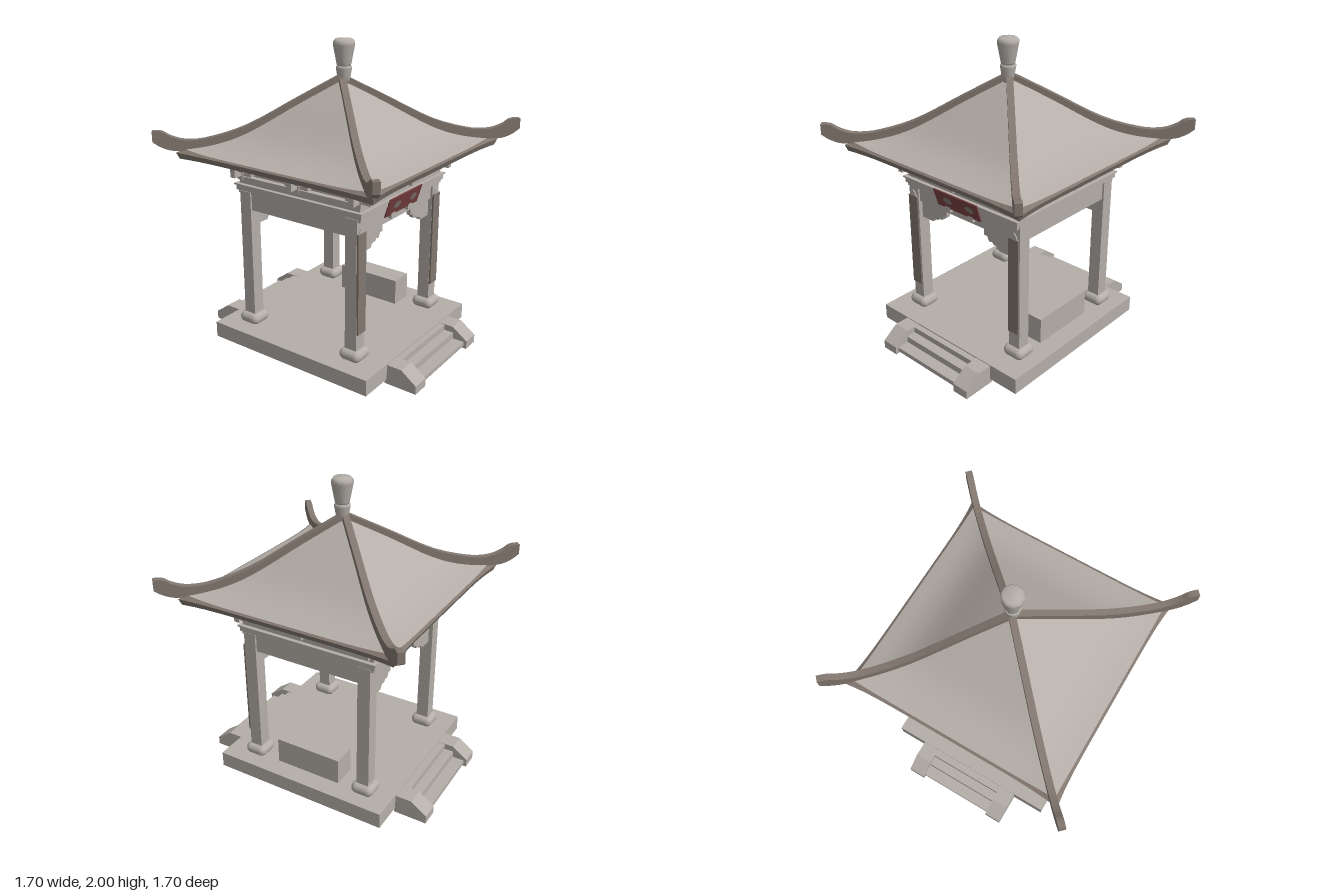
import * as THREE from 'three';
import { RoundedBoxGeometry } from 'three/addons/geometries/RoundedBoxGeometry.js';

export function createModel() {
  const model = new THREE.Group();
  const mat = (name, color) => Object.assign(new THREE.MeshStandardMaterial({ color, side: THREE.DoubleSide }), { name });
  const stone = mat('stone', 0xb4aea8);
  const roofStone = mat('roofStone', 0xb5aea8);
  const brown = mat('weatheredBrown', 0x82776f);
  const red = mat('plaqueRed', 0x7a4042);

  const add = (name, geo, material, parent = model) => {
    const m = new THREE.Mesh(geo, material);
    m.name = name;
    parent.add(m);
    return m;
  };
  // Box given by its limits
  const box = (name, x0, x1, y0, y1, z0, z1, material = stone, parent = model) => {
    const m = add(name, new THREE.BoxGeometry(x1 - x0, y1 - y0, z1 - z0), material, parent);
    m.position.set((x0 + x1) / 2, (y0 + y1) / 2, (z0 + z1) / 2);
    return m;
  };
  const shapeOf = pts => new THREE.Shape(pts.map(p => new THREE.Vector2(...p)));
  const slab = (shape, depth) => new THREE.ExtrudeGeometry(shape, { depth, bevelEnabled: false }).translate(0, 0, -depth / 2);
  const square = h => [[-h, -h], [h, -h], [h, h], [-h, h]];
  // Opens a mesh by dropping the flat faces that look along the given directions
  const open = (mesh, ...dirs) => {
    const src = mesh.geometry.index ? mesh.geometry.toNonIndexed() : mesh.geometry;
    const { position: p, normal: n } = src.attributes;
    const pos = [];
    for (let i = 0; i < p.count; i += 3) {
      if (dirs.some(d => n.getX(i) * d[0] + n.getY(i) * d[1] + n.getZ(i) * d[2] > 0.95)) continue;
      pos.push(...p.array.slice(i * 3, i * 3 + 9));
    }
    mesh.geometry = new THREE.BufferGeometry().setAttribute('position', new THREE.Float32BufferAttribute(pos, 3));
    mesh.geometry.computeVertexNormals();
    return mesh;
  };
  const down = [0, -1, 0];

  // Platform, open underneath, and bench
  open(box('platform', -0.6, 0.6, 0.03, 0.135, -0.6, 0.61), down);
  box('bench', 0.32, 0.475, 0.13, 0.31, -0.23, 0.23);

  // Stairs at the front and back, hollow underneath
  for (const s of [1, -1]) {
    const stairs = new THREE.Group();
    stairs.name = s > 0 ? 'frontStairs' : 'backStairs';
    stairs.scale.z = s;
    model.add(stairs);
    const cheek = [[0.595, 0], [0.815, 0], [0.815, 0.055], [0.71, 0.13], [0.595, 0.13]];
    for (const [x0, x1] of [[-0.375, -0.26], [0.275, 0.39]]) {
      const c = open(add('stairCheek', slab(shapeOf(cheek), x1 - x0), stone, stairs), down);
      c.rotation.y = -Math.PI / 2;
      c.position.x = (x0 + x1) / 2;
    }
    [[0.015, 0.045, 0.715, 0.795], [0.045, 0.088, 0.65, 0.715], [0.088, 0.127, 0.6, 0.65]].forEach(([y0, y1, z0, z1]) =>
      open(box('stairTread', -0.265, 0.28, y0, y1, z0, z1, stone, stairs), down, [0, 0, -1]));
  }

  // Timber-style frame, a touch off centre
  const frame = new THREE.Group();
  frame.name = 'frame';
  frame.position.set(0.008, 0, -0.004);
  model.add(frame);
  const px = 0.434, pz = 0.408, w = 0.042;
  for (const sx of [-1, 1]) {
    for (const sz of [-1, 1]) {
      box('pillar', sx * px - w, sx * px + w, 0.14, 1.06, sz * pz - w, sz * pz + w, stone, frame);
      const base = add('pillarBase', new RoundedBoxGeometry(0.15, 0.075, 0.15, 4, 0.036), stone, frame);
      base.position.set(sx * px, 0.172, sz * pz);
    }
    // Hanging panel on each front pillar
    box('pillarPanel', sx * px - 0.04, sx * px + 0.04, 0.32, 0.97, pz + w, pz + w + 0.012, brown, frame);
    const hook = add('panelHook', slab(shapeOf([[-0.03, 0.97], [0.03, 0.97], [0.015, 1], [0, 1.012], [-0.015, 1]]), 0.008), stone, frame);
    hook.position.set(sx * px, 0, pz + w + 0.006);
    // Side beam
    box('sideBeam', sx * px - 0.03, sx * px + 0.03, 0.94, 1.05, -pz, pz, stone, frame);
  }

  // Front and back beams with scalloped corner braces
  const brace = [[-0.39, 0.94], [-0.39, 0.82], [-0.29, 0.82], [-0.28, 0.84], [-0.262, 0.848], [-0.245, 0.845],
    [-0.23, 0.862], [-0.21, 0.856], [-0.198, 0.868], [-0.19, 0.888], [-0.164, 0.888], [-0.164, 0.94]];
  for (const sz of [-1, 1]) {
    box('crossBeam', -px, px, 0.94, 1.05, sz * pz - 0.03, sz * pz + 0.03, stone, frame);
    for (const sx of [-1, 1]) {
      const pts = brace.map(([x, y]) => [x * sx, y]);
      const b = add('cornerBrace', slab(shapeOf(pts), 0.03), stone, frame);
      b.position.z = sz * pz;
    }
  }

  // Square rings of the entablature: half width, bottom, top, inner half width
  const ring = (name, half, y0, y1, inner) => {
    const s = shapeOf(square(half));
    s.holes.push(new THREE.Path(square(inner).reverse().map(p => new THREE.Vector2(...p))));
    const m = add(name, slab(s, y1 - y0), stone, frame);
    m.rotation.x = -Math.PI / 2;
    m.position.y = (y0 + y1) / 2;
  };
  ring('lowerMoulding', 0.468, 1.042, 1.063, 0.36);
  ring('cornice', 0.478, 1.063, 1.096, 0.37);
  ring('corniceLip', 0.488, 1.096, 1.106, 0.37);
  ring('frieze', 0.462, 1.106, 1.127, 0.37);
  ring('friezeCap', 0.468, 1.127, 1.153, 0.37);
  ring('bracketWall', 0.43, 1.153, 1.222, 0.37);
  ring('upperMoulding', 0.54, 1.222, 1.245, 0.37);
  ring('eaveMoulding', 0.553, 1.245, 1.27, 0.37);
  ring('eaveLip', 0.565, 1.27, 1.282, 0.37);
  box('ceiling', -0.4, 0.4, 1.14, 1.15, -0.4, 0.4, stone, frame);

  // Eave brackets, three on each side: a column with upturned arms sideways and outward
  for (let k = 0; k < 4; k++) {
    const side = new THREE.Group();
    side.name = 'bracketRow';
    side.rotation.y = k * Math.PI / 2;
    frame.add(side);
    for (const x of [-0.45, 0, 0.45]) {
      const bit = (x0, x1, y0, y1, z0, z1) => box('bracket', x + x0, x + x1, y0, y1, z0, z1, stone, side);
      bit(-0.024, 0.024, 1.135, 1.223, 0.426, 0.474);
      bit(-0.015, 0.015, 1.158, 1.178, 0.47, 0.52);
      bit(-0.018, 0.018, 1.158, 1.223, 0.505, 0.535);
      bit(-0.07, 0.07, 1.158, 1.178, 0.435, 0.465);
      for (const s of [-0.072, 0.072]) bit(s - 0.016, s + 0.016, 1.158, 1.223, 0.432, 0.468);
    }
  }

  // Tilted plaque over the front entrance, with two plain oval bosses
  const plaque = box('plaque', -0.188, 0.183, 0.988, 1.113, 0.467, 0.475, red);
  plaque.rotation.x = 0.3;
  for (const x of [-0.078, 0.108]) {
    const boss = add('plaqueBoss', new THREE.CircleGeometry(0.036, 20), brown, plaque);
    boss.scale.y = 0.7;
    boss.position.set(x, 0.002, 0.0055);
  }
  for (const x of [-0.1, 0.095]) box('plaqueSupport', x - 0.022, x + 0.022, 0.965, 1.008, 0.43, 0.46);

  // Curved roof: each side is a bent sheet, with a fascia and an underside
  const profile = new THREE.SplineCurve([[0, 1.755], [0.2, 1.607], [0.41, 1.443], [0.55, 1.367], [0.692, 1.326]]
    .map(p => new THREE.Vector2(...p)));
  const at = (u, r, y) => new THREE.Vector3(r * u, y, r);
  const roofPoint = (u, v) => {
    const p = profile.getPoint(v);
    return at(u, p.x, p.y + 0.018 * u ** 6 * v ** 4);
  };
  const under = (u, v) => {
    const p = profile.getPoint(v);
    return at(u, p.x * (1 + 0.035 * u ** 6 * v ** 4), p.y - 0.043);
  };
  // Fascia rows: sloping rim, outer edge, bottom edge
  const fascia = (u, t) => {
    if (t < 0.25) return roofPoint(u, 1);
    return t < 0.75 ? at(u, 0.708 + 0.022 * u ** 6, 1.318 + 0.004 * u ** 6) : under(u, 1);
  };
  const bend = (nu, nv, rule) => {
    const g = new THREE.PlaneGeometry(2, 1, nu, nv);
    const pos = g.attributes.position;
    for (let i = 0; i < pos.count; i++) {
      const p = rule(pos.getX(i), 0.5 - pos.getY(i));
      pos.setXYZ(i, p.x, p.y, p.z);
    }
    g.computeVertexNormals();
    return g;
  };
  const roofGeo = bend(20, 20, roofPoint);
  const underGeo = bend(20, 20, under);
  const fasciaGeo = bend(20, 2, fascia).toNonIndexed();
  fasciaGeo.computeVertexNormals();

  // Ridge rising along each diagonal to an upturned tip
  const q = Math.SQRT2;
  const curve = pts => new THREE.SplineCurve(pts.map(([x, y]) => new THREE.Vector2(x * q, y))).getPoints(24);
  const top = curve([[0.01, 1.775], [0.2, 1.637], [0.41, 1.483], [0.58, 1.41], [0.68, 1.4], [0.745, 1.425], [0.785, 1.458], [0.826, 1.462]]);
  const bottom = curve([[0.826, 1.395], [0.785, 1.357], [0.72, 1.334], [0.58, 1.35], [0.41, 1.42], [0.2, 1.57], [0.01, 1.71]]);
  const ridgeGeo = slab(new THREE.Shape([...top, ...bottom]), 0.042);

  for (let k = 0; k < 4; k++) {
    const a = k * Math.PI / 2;
    add('roofSide', roofGeo, roofStone).rotation.y = a;
    add('roofUnderside', underGeo, roofStone).rotation.y = a;
    add('roofFascia', fasciaGeo, brown).rotation.y = a;
    add('roofRidge', ridgeGeo, brown).rotation.y = a + Math.PI / 4 - 0.012;
  }

  // Finial, slightly forward of the centre
  const lathe = (name, pts) => {
    const m = add(name, new THREE.LatheGeometry(pts.map(p => new THREE.Vector2(...p)), 10), stone);
    m.position.set(0.003, 0, 0.015);
  };
  lathe('finialBase', [[0, 1.71], [0.03, 1.71], [0.04, 1.76], [0.05, 1.815], [0.05, 1.828], [0.04, 1.836], [0, 1.836]]);
  lathe('finialTop', [[0, 1.83], [0.042, 1.83], [0.046, 1.845], [0.068, 1.96], [0.068, 1.978], [0.055, 1.995], [0, 2]]);
  return model;
}
